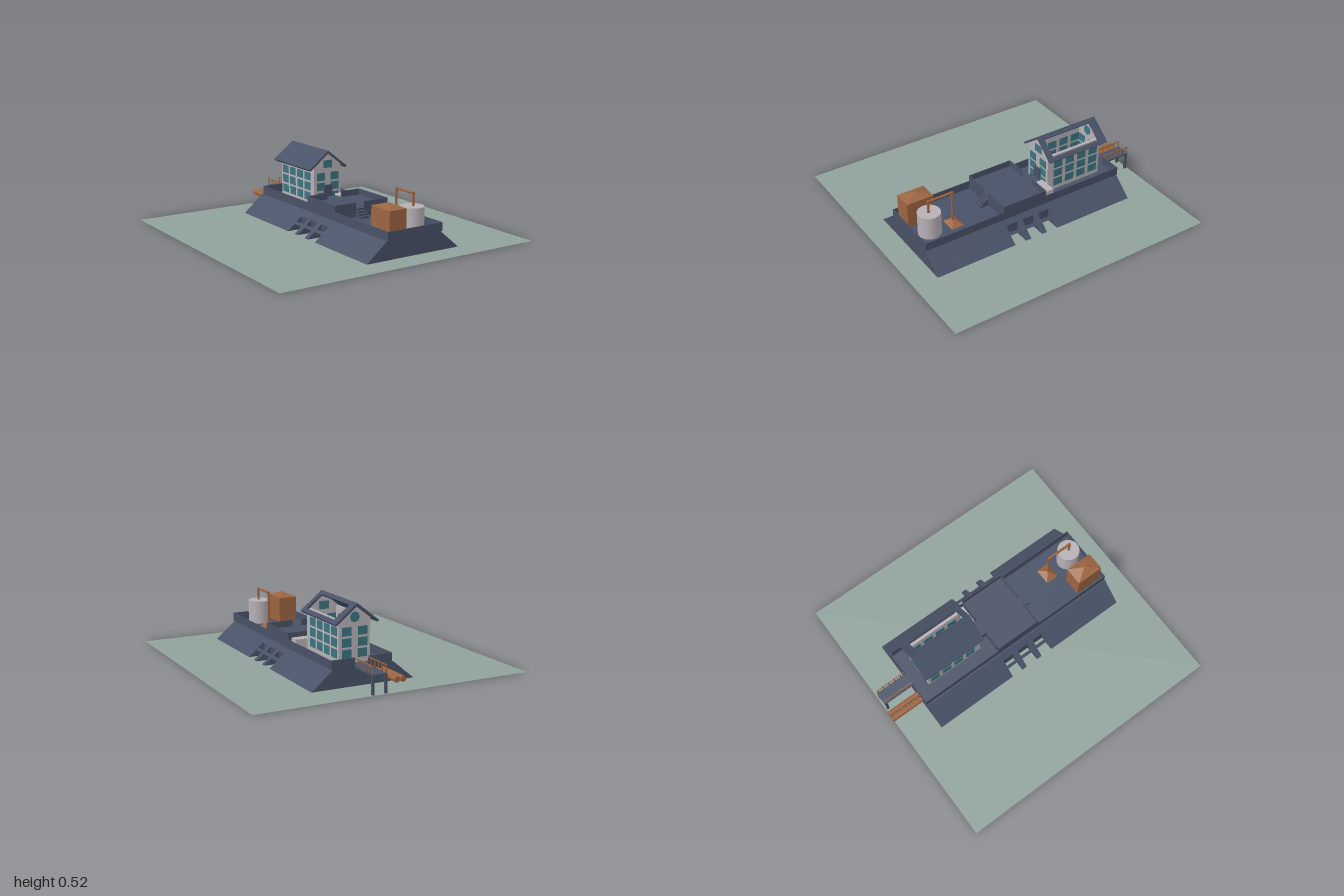
import * as THREE from 'three';

const mat = (name, color, side = THREE.FrontSide) => {
  const m = new THREE.MeshStandardMaterial({ color, side });
  m.name = name;
  return m;
};

export function createModel() {
  const root = new THREE.Group();
  const slate = mat('slate', 0x485166);
  const plaster = mat('pale plaster', 0xb7b1b6);
  const timber = mat('orange timber', 0x9b6440);
  const glass = mat('teal glass', 0x3b7480);
  const grass = mat('grey green ground', 0x90a19b, THREE.DoubleSide);

  const add = (name, geo, material, parent = root) => {
    const m = new THREE.Mesh(geo, material);
    m.name = name;
    parent.add(m);
    return m;
  };
  // Box given by its minimum and maximum on each axis
  const box = (name, x0, x1, y0, y1, z0, z1, material, parent = root) => {
    const m = add(name, new THREE.BoxGeometry(x1 - x0, y1 - y0, z1 - z0), material, parent);
    m.position.set((x0 + x1) / 2, (y0 + y1) / 2, (z0 + z1) / 2);
    return m;
  };
  // Outline in x and y, extruded from z0 to z1
  const prism = (name, pts, z0, z1, material, parent = root) => {
    const shape = new THREE.Shape(pts.map(p => new THREE.Vector2(...p)));
    const geo = new THREE.ExtrudeGeometry(shape, { depth: z1 - z0, bevelEnabled: false });
    return add(name, geo.translate(0, 0, z0), material, parent);
  };
  // Four-sided pyramid
  const pyramid = (name, x, y, z, w, h, d, material) => {
    const geo = new THREE.ConeGeometry(Math.SQRT1_2, 1, 4, 1).rotateY(Math.PI / 4).toNonIndexed();
    geo.scale(w, h, d);
    geo.computeVertexNormals();
    add(name, geo, material).position.set(x, y + h / 2, z);
  };

  // Ground and foundation strips beneath it
  const ground = add('ground', new THREE.PlaneGeometry(1.99, 1.99).rotateX(-Math.PI / 2), grass);
  ground.position.set(-0.003, 0.003, 0.005);
  for (const z of [-0.2, 0.27]) box('foundationStrip', -0.26, 0.49, 0, 0.002, z - 0.05, z + 0.05, plaster);
  box('foundationSpine', 0.06, 0.085, 0, 0.002, -0.66, 0.74, slate);

  // Embankment: full slope, with recessed bays on both sides
  const cx = 0.115;
  const slopeX = y => 0.375 - (y / 0.13) * 0.155;
  const bays = [[-0.125, -0.04], [0, 0.09], [0.133, 0.22]];
  const full = [[cx - 0.375, 0.001], [cx + 0.375, 0.001], [cx + 0.22, 0.13], [cx - 0.22, 0.13]];
  // bay core keeps only the part above the openings
  const inner = slopeX(0.095);
  const core = [[cx - inner, 0.001], [cx + inner, 0.001], [cx + inner, 0.095],
    [cx + 0.22, 0.13], [cx - 0.22, 0.13], [cx - inner, 0.095]];
  let z = -0.75;
  for (const [a, b] of bays) {
    prism('embankment', full, z, a, slate);
    prism('bayCore', core, a, b, slate);
    for (const s of [-1, 1]) {
      const bar = [[slopeX(0.048), 0.048], [slopeX(0.064), 0.064], [slopeX(0.064), 0.048]]
        .map(([x, y]) => [cx + s * x, y]);
      prism('bayCrossbar', bar, a, b, slate);
    }
    z = b;
  }
  prism('embankment', full, z, 0.825, slate);

  // Outer parapet, open at the back where the pier joins
  const x0 = -0.095, x1 = 0.35, t = 0.005;
  box('sideParapet', x0, x0 + t, 0.13, 0.19, -0.75, 0.825, slate);
  box('sideParapet', x1 - t, x1, 0.13, 0.19, -0.75, 0.825, slate);
  box('frontParapet', x0, x1, 0.13, 0.19, 0.825 - t, 0.825, slate);
  box('backParapet', x0, 0.08, 0.13, 0.19, -0.75, -0.75 + t, slate);
  box('backParapet', 0.18, x1, 0.13, 0.19, -0.75, -0.75 + t, slate);

  // Raised middle deck with its own low wall, walkway and steps
  box('middleDeck', x0, x1, 0.13, 0.19, -0.125, 0.22, slate);
  box('walkway', 0.07, 0.19, 0.13, 0.19, -0.21, -0.125, slate);
  for (const x of [x0, x1 - t]) box('deckSideWall', x, x + t, 0.19, 0.235, -0.125, 0.22, slate);
  for (const [a, b] of [[x0, 0.08], [0.15, x1]]) box('deckFrontWall', a, b, 0.19, 0.235, 0.215, 0.22, slate);
  for (const [a, b] of [[x0, 0.07], [0.19, x1]]) box('deckBackWall', a, b, 0.19, 0.235, -0.125, -0.12, slate);
  for (let i = 0; i < 3; i++) box('step', 0.08, 0.15, 0.13, 0.175 - i * 0.015, 0.22, 0.24 + i * 0.02, slate);
  box('paleBlock', 0.19, 0.325, 0.13, 0.203, -0.205, -0.135, plaster);

  // House walls: two gables and two sides, open inside
  const house = new THREE.Group();
  house.name = 'house';
  root.add(house);
  const hx = 0.13, hw = 0.115, zf = -0.21, zb = -0.655, wt = 0.02;
  const gable = [[hx - hw, 0.13], [hx + hw, 0.13], [hx + hw, 0.418], [hx, 0.508], [hx - hw, 0.418]];
  prism('frontGable', gable, zf - wt, zf, plaster, house);
  prism('backGable', gable, zb, zb + wt, plaster, house);
  for (const s of [-1, 1]) {
    const a = hx + s * hw, b = hx + s * (hw - wt);
    box('sideWall', Math.min(a, b), Math.max(a, b), 0.13, 0.415, zb + wt, zf - wt, plaster, house);
    // Grid of side windows, showing inside and outside
    for (let r = 0; r < 3; r++) for (let c = 0; c < 4; c++) {
      const y = 0.163 + r * 0.073, zc = -0.297 - c * 0.1;
      box('sideWindow', Math.min(a, b) - 0.004, Math.max(a, b) + 0.004, y, y + 0.057, zc - 0.036, zc + 0.036, glass, house);
    }
  }
  for (const [w0, w1] of [[zf - wt, zf], [zb, zb + wt]]) {
    for (let r = 0; r < 3; r++) for (const s of [-1, 1]) {
      const y = 0.163 + r * 0.073, xc = hx + s * 0.058;
      box('gableWindow', xc - 0.034, xc + 0.034, y, y + 0.057, w0 - 0.004, w1 + 0.004, glass, house);
    }
  }
  box('atticWindow', hx - 0.036, hx + 0.036, 0.4, 0.455, zf - wt - 0.004, zf + 0.004, glass, house);
  const round = add('roundWindow', new THREE.CylinderGeometry(0.035, 0.035, wt + 0.008, 8).rotateX(Math.PI / 2), glass, house);
  round.position.set(hx, 0.43, zb + wt / 2);
  box('door', 0.095, 0.165, 0.19, 0.275, zf, zf + 0.012, slate, house);

  // Roof slopes; the one on +x has a long opening
  const run = 0.16, drop = 0.125, len = Math.hypot(run, drop), thick = 0.015, half = 0.245;
  const rect = (P, a, b, c, d) => {
    const p = new P();
    p.moveTo(a, c); p.lineTo(b, c); p.lineTo(b, d); p.lineTo(a, d); p.closePath();
    return p;
  };
  for (const s of [-1, 1]) {
    const panel = rect(THREE.Shape, -half, half, 0, len);
    if (s > 0) panel.holes.push(rect(THREE.Path, -0.185, 0.205, 0.032, 0.171));
    const down = new THREE.Vector3(s * run, -drop, 0).divideScalar(len);
    const out = new THREE.Vector3(s * drop, run, 0).divideScalar(len);
    const geo = new THREE.ExtrudeGeometry(panel, { depth: thick, bevelEnabled: false });
    geo.applyMatrix4(new THREE.Matrix4().makeBasis(new THREE.Vector3(0, 0, s), down, out));
    add('roofSlope', geo, slate, house).position.set(hx, 0.525, -0.445).addScaledVector(out, -thick);
  }

  // Pier with posts and handrails
  box('pierDeck', 0.08, 0.18, 0.122, 0.134, -0.985, -0.75, slate);
  for (const x of [0.083, 0.177]) {
    box('pierLeg', x - 0.007, x + 0.007, 0, 0.125, -0.98, -0.963, slate);
    box('handrail', x - 0.003, x + 0.003, 0.182, 0.188, -0.98, -0.75, timber);
    for (let i = 0; i < 5; i++) {
      const pz = -0.785 - i * 0.047;
      box('railPost', x - 0.003, x + 0.003, 0.134, 0.184, pz - 0.003, pz + 0.003, timber);
    }
  }

  // Twin outlet pipes
  for (const x of [-0.027, 0.017]) {
    const pipe = add('outletPipe', new THREE.CylinderGeometry(0.02, 0.02, 0.26, 16).rotateX(Math.PI / 2), timber);
    pipe.position.set(x, 0.088, -0.87);
  }
  box('pipeStrap', -0.02, 0.01, 0.083, 0.093, -0.92, -0.9, timber);

  // Timber shed with a low pyramid top
  box('shed', -0.065, 0.07, 0.13, 0.316, 0.6, 0.8, timber);
  pyramid('shedRoof', 0.0025, 0.316, 0.7, 0.135, 0.03, 0.2, timber);

  // Storage tank and its bent pipe
  add('tank', new THREE.CylinderGeometry(0.08, 0.08, 0.168, 24), plaster).position.set(0.19, 0.214, 0.705);
  const tube = (y0, y1, pz) => {
    add('tankPipe', new THREE.CylinderGeometry(0.009, 0.009, y1 - y0, 10), timber).position.set(0.193, (y0 + y1) / 2, pz);
  };
  tube(0.295, 0.392, 0.71);
  tube(0.14, 0.392, 0.528);
  const across = add('tankPipeTop', new THREE.CylinderGeometry(0.009, 0.009, 0.198, 10).rotateX(Math.PI / 2), timber);
  across.position.set(0.193, 0.384, 0.619);
  pyramid('pipeFoot', 0.19, 0.13, 0.522, 0.12, 0.04, 0.095, timber);

  return root;
}
